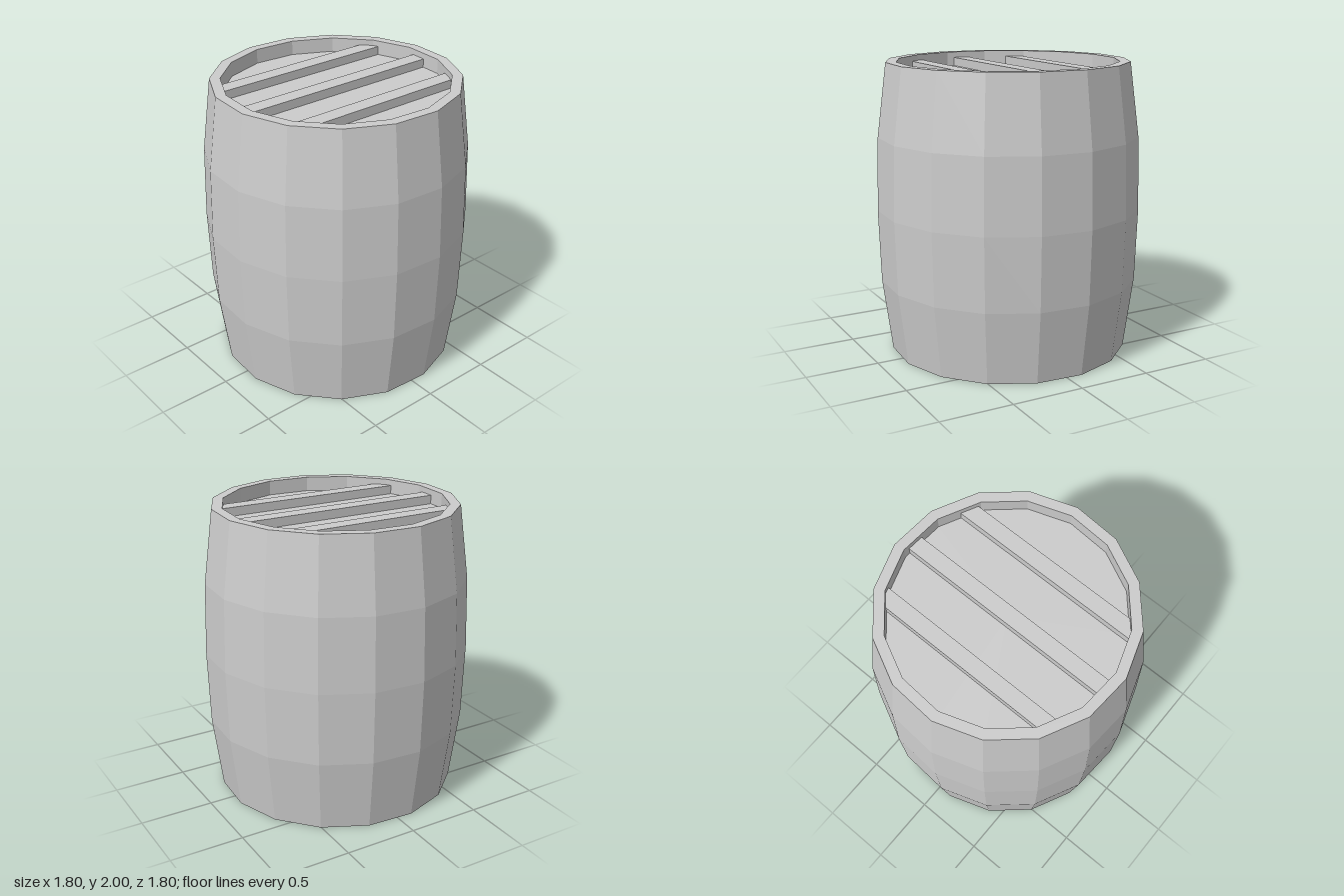
import * as THREE from 'three';

export function createModel() {
  const group = new THREE.Group();
  group.name = 'barrel';
  const material = new THREE.MeshStandardMaterial({ color: 0xcccccc, flatShading: true });

  // Body: bulging wall, flat rims and recessed lids turned as one closed profile
  const lower = [[0, 0.1], [0.757, 0.1], [0.757, 0], [0.828, 0], [0.893, 0.5]];
  const upper = lower.map(([r, y]) => [r, 2 - y]).reverse();
  const profile = [...lower, [0.908, 1], ...upper].map(([r, y]) => new THREE.Vector2(r, y));
  const body = new THREE.Mesh(
    new THREE.LatheGeometry(profile, 16, THREE.MathUtils.degToRad(7.5)), material);
  body.name = 'barrelBody';
  group.add(body);

  // Three battens across each lid, ends sunk into the wall
  const battens = [[-0.395, 1.34], [-0.005, 1.53], [0.39, 1.34]];
  for (const [side, y] of [['top', 1.925], ['bottom', 0.075]]) {
    battens.forEach(([z, length], i) => {
      const batten = new THREE.Mesh(new THREE.BoxGeometry(length, 0.07, 0.11), material);
      batten.position.set(0, y, z);
      batten.name = `${side}Batten${i + 1}`;
      group.add(batten);
    });
  }
  return group;
}
